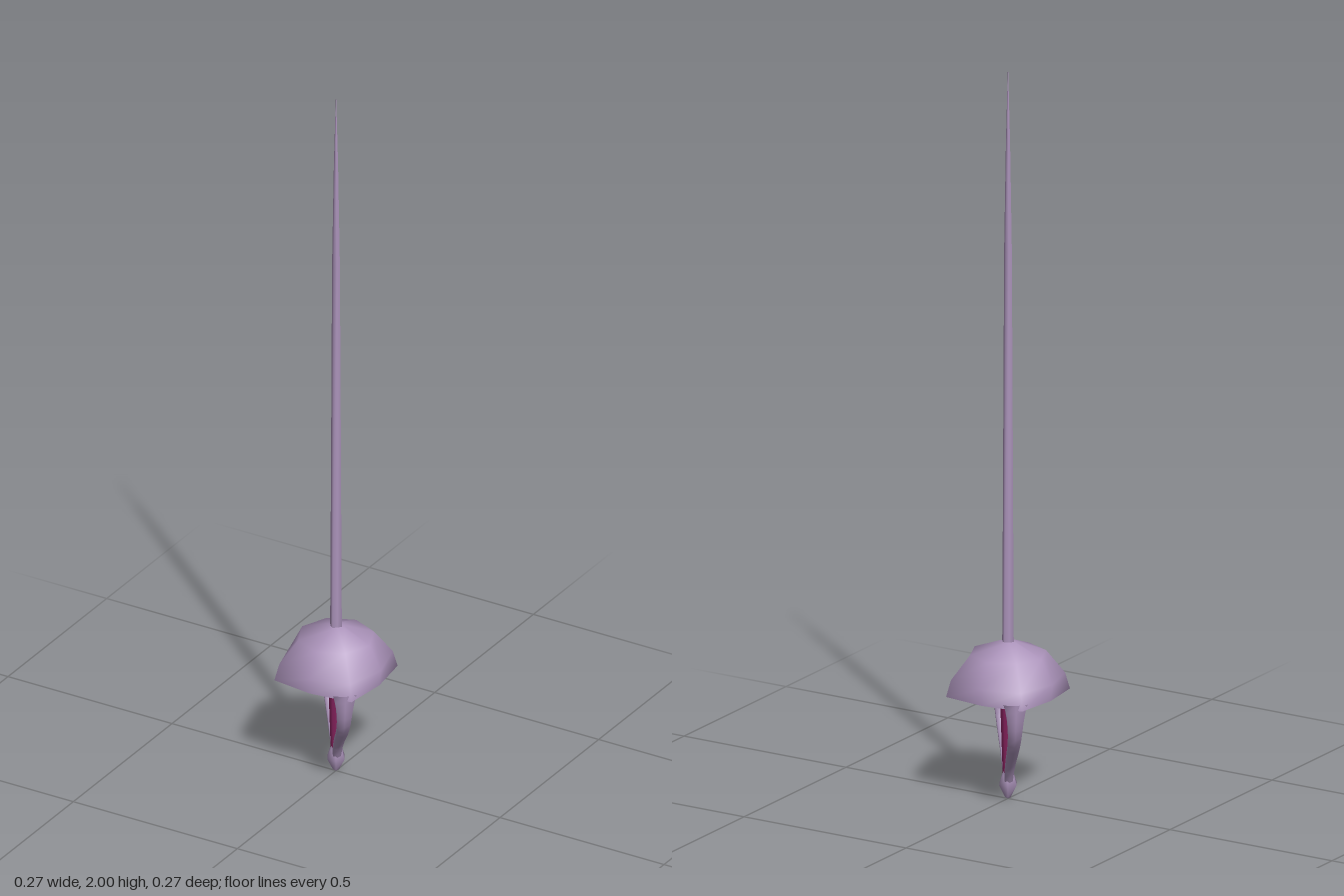
import * as THREE from 'three';

const steel = new THREE.MeshStandardMaterial({ color: 0xab93ba });
steel.name = 'mauve steel';
const wrap = new THREE.MeshStandardMaterial({ color: 0x8a2360 });
wrap.name = 'magenta grip';

// Smooth skin over a list of rings, each with the same number of points
function loft(rings) {
  const n = rings[0].length, pos = [], idx = [];
  rings.forEach(ring => ring.forEach(p => pos.push(p.x, p.y, p.z)));
  for (let r = 0; r < rings.length - 1; r++) {
    for (let i = 0; i < n; i++) {
      const a = r * n + i, b = r * n + (i + 1) % n;
      idx.push(a, a + n, b, b, a + n, b + n);
    }
  }
  const g = new THREE.BufferGeometry();
  g.setAttribute('position', new THREE.Float32BufferAttribute(pos, 3));
  g.setIndex(idx);
  g.computeVertexNormals();
  return g;
}

// Level ring with alternating radii on the axes and on the diagonals
function ring(y, axis, diagonal = axis, sides = 8) {
  return Array.from({ length: sides }, (_, i) => {
    const a = i / sides * Math.PI * 2, r = i % 2 ? diagonal : axis;
    return new THREE.Vector3(r * Math.cos(a), y, r * Math.sin(a));
  });
}

function add(parent, name, geometry, material) {
  const mesh = new THREE.Mesh(geometry, material);
  mesh.name = name;
  parent.add(mesh);
  return mesh;
}

// Flattened bar following a path in the vertical plane that holds `out`, flaring at the guard
function bowGeometry(out) {
  const path = new THREE.CatmullRomCurve3(
    [[0.008, 0.045], [0.028, 0.085], [0.06, 0.125], [0.1, 0.165], [0.132, 0.21], [0.143, 0.26], [0.145, 0.305]]
      .map(([d, y]) => out.clone().multiplyScalar(d).setY(y)));
  const steps = 12, sides = 6, rings = [];
  for (let s = 0; s <= steps; s++) {
    const t = s / steps, centre = path.getPoint(t), tangent = path.getTangent(t);
    const v = out.clone().cross(tangent).normalize();
    const u = tangent.clone().cross(v).normalize();
    const thick = 0.01 + 0.006 * t, wide = 0.012 + 0.01 * t + 0.014 * t ** 6;
    rings.push(Array.from({ length: sides }, (_, i) => {
      const a = i / sides * Math.PI * 2;
      return centre.clone().addScaledVector(u, thick * Math.cos(a)).addScaledVector(v, wide * Math.sin(a));
    }));
  }
  return loft(rings);
}

export function createModel() {
  const model = new THREE.Group();
  model.name = 'rapier';

  // Long blade with softened edges, tapering to a point
  add(model, 'blade', loft([
    ring(0.4, 0.018, 0.0145), ring(1.5, 0.012, 0.0095), ring(1.8, 0.0065, 0.005), ring(2, 0.0005),
  ]), steel);

  // Squarish cup guard: outer skin, hollow inside and a narrow lip
  const guard = new THREE.Group();
  guard.name = 'cupGuard';
  model.add(guard);
  add(guard, 'guardOuter', loft([
    ring(0.29, 0.132, 0.166), ring(0.335, 0.137, 0.153), ring(0.4, 0.103, 0.102),
    ring(0.43, 0.026, 0.02), ring(0.437, 0.001),
  ]), steel);
  add(guard, 'guardInner', loft([
    ring(0.418, 0.001), ring(0.415, 0.026, 0.02), ring(0.388, 0.092, 0.091),
    ring(0.332, 0.124, 0.138), ring(0.29, 0.12, 0.152),
  ]), steel);
  add(guard, 'guardLip', loft([ring(0.29, 0.12, 0.152), ring(0.29, 0.132, 0.166)]), steel);

  // Two bows on opposite corners, sweeping down to the pommel
  for (const s of [1, -1]) {
    add(model, 'guardBow', bowGeometry(new THREE.Vector3(0.64 * s, 0, 0.768 * s)), steel);
  }

  // Grip, thicker toward the guard
  const grip = add(model, 'grip', new THREE.CylinderGeometry(0.026, 0.014, 0.36, 8), wrap);
  grip.position.y = 0.24;

  // Pommel
  add(model, 'pommel', loft([
    ring(0, 0.001, 0.001, 6), ring(0.006, 0.009, 0.009, 6), ring(0.04, 0.026, 0.026, 6),
    ring(0.065, 0.018, 0.018, 6), ring(0.082, 0.012, 0.012, 6),
  ]), steel);

  return model;
}
